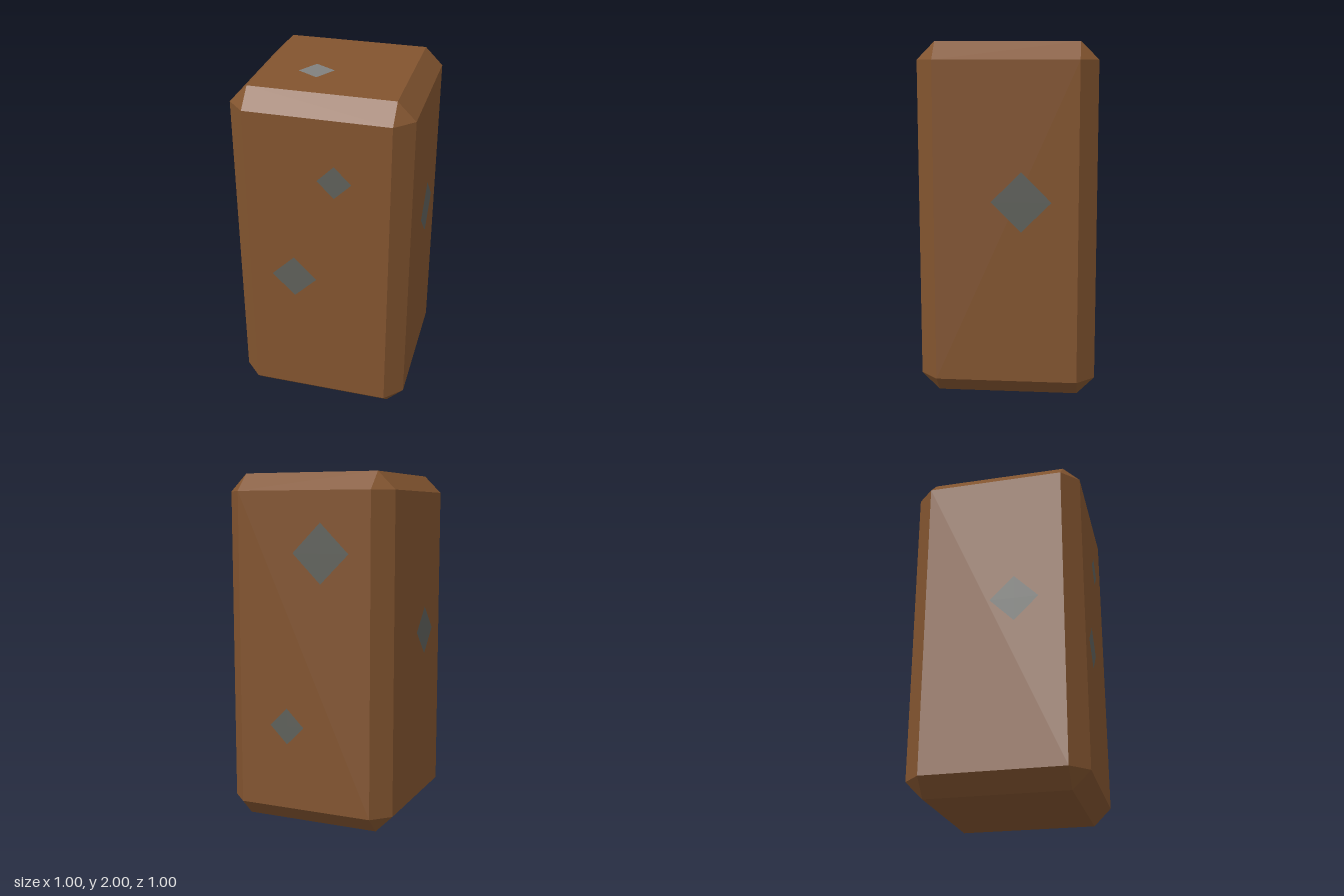
import * as THREE from 'three';
import { ConvexGeometry } from 'three/addons/geometries/ConvexGeometry.js';

const brown = new THREE.MeshStandardMaterial({ color: 0x82542f });
brown.name = 'brown';
const darkGrey = new THREE.MeshStandardMaterial({ color: 0x5e605a });
darkGrey.name = 'darkGrey';
const lightGrey = new THREE.MeshStandardMaterial({ color: 0x80807e });
lightGrey.name = 'lightGrey';

// Box with every edge cut at 45 degrees: three points near each corner
function chamferedBox(w, h, d, c) {
  const points = [];
  for (const sx of [-1, 1]) for (const sy of [-1, 1]) for (const sz of [-1, 1]) {
    const x = w / 2, y = h / 2, z = d / 2;
    points.push(
      new THREE.Vector3(sx * x, sy * (y - c), sz * (z - c)),
      new THREE.Vector3(sx * (x - c), sy * y, sz * (z - c)),
      new THREE.Vector3(sx * (x - c), sy * (y - c), sz * z)
    );
  }
  return new ConvexGeometry(points);
}

// Flat square patch, r from centre to corner, lying just off a face
function patch(name, material, r, position, rotation, spin = 0) {
  const geometry = new THREE.CircleGeometry(r, 4).rotateZ(spin);
  const mesh = new THREE.Mesh(geometry, material);
  mesh.name = name;
  mesh.position.set(...position);
  mesh.rotation.set(...rotation);
  return mesh;
}

export function createModel() {
  const model = new THREE.Group();
  model.name = 'block';

  const body = new THREE.Mesh(chamferedBox(1, 2, 1, 0.1), brown);
  body.name = 'body';
  body.position.y = 1;
  model.add(body);

  const s = 0.502; // patch distance from the centre axis
  const q = Math.PI / 2;
  const front = [0, 0, 0], back = [0, Math.PI, 0];
  model.add(
    patch('frontUpperPatch', darkGrey, 0.095, [0.095, 1.545, s], front),
    patch('frontLowerPatch', darkGrey, 0.13, [-0.14, 0.905, s], front),
    patch('backUpperPatch', darkGrey, 0.167, [-0.107, 1.56, -s], back),
    patch('backLowerPatch', darkGrey, 0.104, [0.104, 0.58, -s], back),
    patch('leftPatch', darkGrey, 0.167, [s, 1.13, -0.085], [0, q, 0]),
    patch('rightPatch', darkGrey, 0.14, [-s, 1.09, 0.118], [0, -q, 0]),
    patch('topPatch', lightGrey, 0.097, [-0.105, 2.002, 0.112], [-q, 0, 0], Math.PI / 12)
  );
  return model;
}
